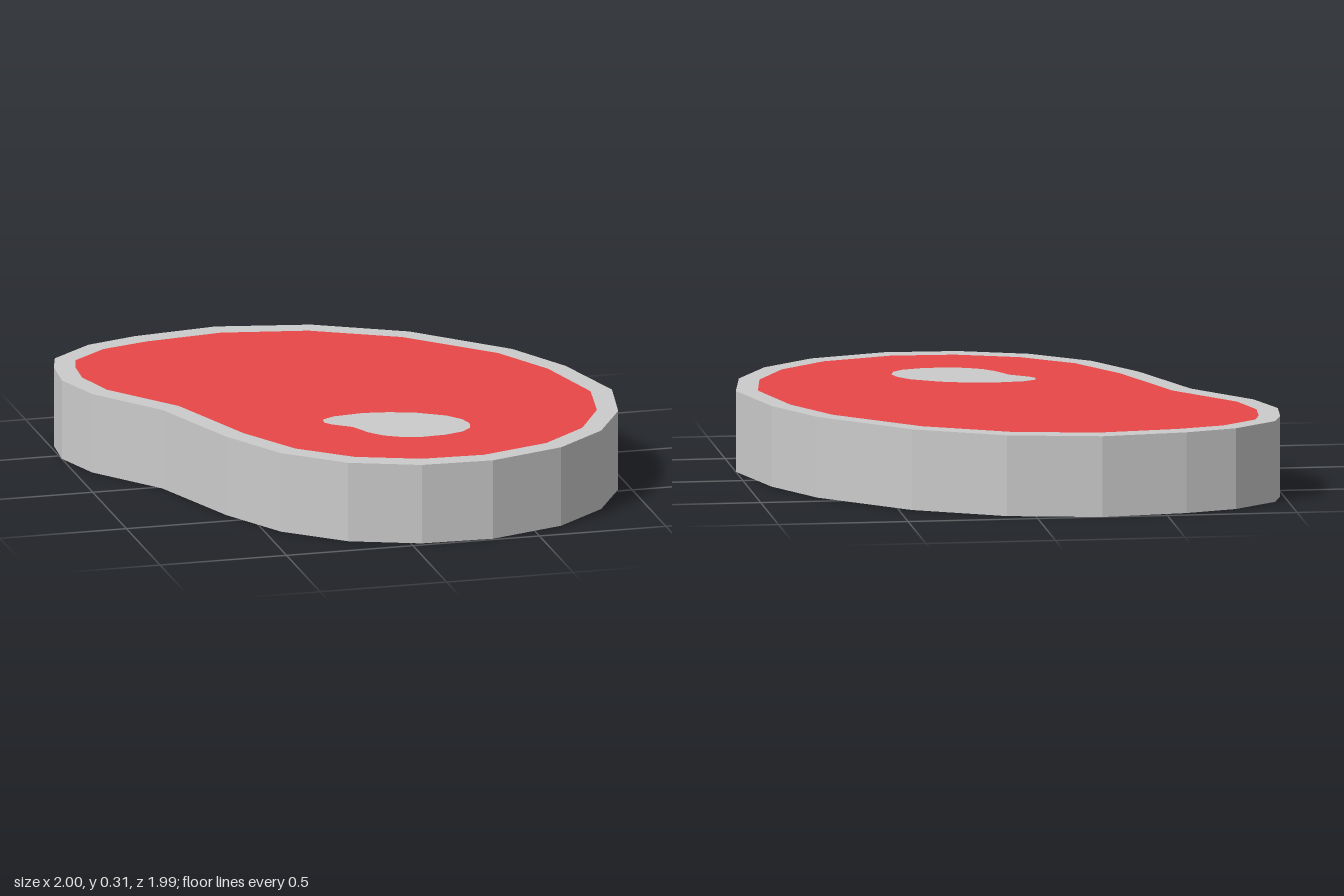
import * as THREE from 'three';

const HEIGHT = 0.313;

// Outlines seen from above, as x, z pairs
const OUTER = [
  -0.25, -1, 0.11, -0.93, 0.45, -0.745, 0.77, -0.42, 0.91, -0.15, 1, 0.2, 0.95, 0.48,
  0.82, 0.715, 0.615, 0.89, 0.32, 0.99, 0.04, 0.98, -0.225, 0.88, -0.44, 0.69,
  -0.585, 0.425, -0.73, 0.02, -0.935, -0.255, -1, -0.46, -0.985, -0.635,
  -0.95, -0.75, -0.78, -0.89, -0.58, -0.955,
];
const INNER = [
  -0.25, -0.915, 0.08, -0.855, 0.405, -0.68, 0.705, -0.38, 0.835, -0.13, 0.915, 0.2, 0.875, 0.445,
  0.76, 0.66, 0.575, 0.82, 0.305, 0.91, 0.06, 0.9, -0.18, 0.81, -0.37, 0.645,
  -0.51, 0.395, -0.655, -0.015, -0.865, -0.295, -0.915, -0.475, -0.905, -0.615,
  -0.88, -0.705, -0.74, -0.82, -0.555, -0.875,
];
const BONE = [
  0, 0.255, 0.1, 0.27, 0.2, 0.305, 0.3, 0.37, 0.345, 0.43, 0.36, 0.49, 0.345, 0.55,
  0.305, 0.59, 0.23, 0.615, 0.14, 0.62, 0.06, 0.6, 0, 0.565, -0.045, 0.51,
  -0.085, 0.425, -0.155, 0.37, -0.175, 0.34, -0.17, 0.3, -0.12, 0.27,
];

function toPoints(outline) {
  const points = [];
  for (let i = 0; i < outline.length; i += 2) {
    points.push(new THREE.Vector2(outline[i], -outline[i + 1]));
  }
  return points;
}

// Upright slab from an outline, with an optional hole
function slab(name, outline, hole, material) {
  const shape = new THREE.Shape(toPoints(outline));
  if (hole) shape.holes.push(new THREE.Path(toPoints(hole)));
  const geometry = new THREE.ExtrudeGeometry(shape, { depth: HEIGHT, bevelEnabled: false });
  geometry.rotateX(-Math.PI / 2);
  const mesh = new THREE.Mesh(geometry, material);
  mesh.name = name;
  return mesh;
}

export function createModel() {
  const grey = new THREE.MeshStandardMaterial({ color: 0xcccccc, flatShading: true });
  const red = new THREE.MeshStandardMaterial({ color: 0xea4747, flatShading: true });

  const steak = new THREE.Group();
  steak.name = 'steak';
  steak.add(
    slab('fatRim', OUTER, INNER, grey),
    slab('meat', INNER, BONE, red),
    slab('bone', BONE, null, grey),
  );
  return steak;
}
